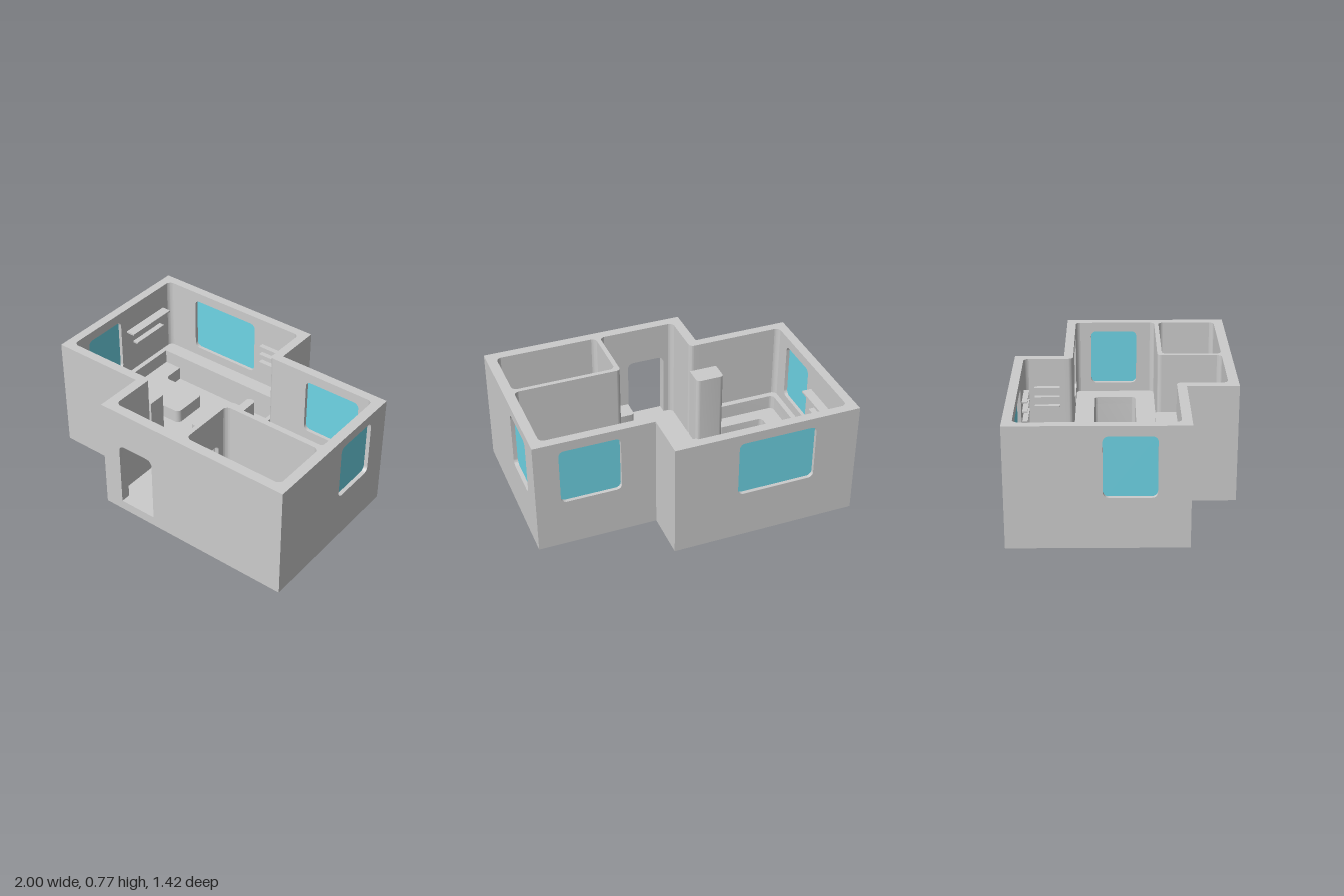
import * as THREE from 'three';
import { toCreasedNormals } from 'three/addons/utils/BufferGeometryUtils.js';

const grey = new THREE.MeshStandardMaterial({ color: 0xcccccc });
const glass = new THREE.MeshStandardMaterial({ color: 0x6ed5e6 });
const TOP = 0.775, FLOOR = 0.065, COUNTER = 0.26, SEAT = 0.16;

export function createModel() {
  const model = new THREE.Group();

  const add = (name, geometry, material = grey) => {
    const mesh = new THREE.Mesh(geometry, material);
    mesh.name = name;
    model.add(mesh);
    return mesh;
  };

  // Closed outline whose corners [x, y, radius] are rounded.
  const outline = (pts, Type = THREE.Shape) => {
    const s = new Type();
    pts.forEach(([x, y, r = 0], i) => {
      const p = new THREE.Vector2(x, y);
      const toward = (q) => new THREE.Vector2(q[0], q[1]).sub(p).setLength(r).add(p);
      const a = toward(pts.at(i - 1)), b = toward(pts[(i + 1) % pts.length]);
      if (i) s.lineTo(a.x, a.y); else s.moveTo(a.x, a.y);
      if (r) {
        const k = 0.552;
        s.bezierCurveTo(a.x + (x - a.x) * k, a.y + (y - a.y) * k, b.x + (x - b.x) * k, b.y + (y - b.y) * k, b.x, b.y);
      }
    });
    s.closePath();
    return s;
  };
  const rect = (x0, x1, y0, y1, r = 0) => [[x0, y0, r], [x1, y0, r], [x1, y1, r], [x0, y1, r]];
  const extrude = (shape, depth) =>
    toCreasedNormals(new THREE.ExtrudeGeometry(shape, { depth, bevelEnabled: false, curveSegments: 8 }), 0.6);

  // Upright prism over a floor plan given in (x, z).
  const plan = (pts) => pts.map(([x, z, r]) => [x, -z, r]);
  const prism = (name, pts, y0, y1, holes = []) => {
    const s = outline(plan(pts));
    holes.forEach((h) => s.holes.push(outline(plan(h), THREE.Path)));
    return add(name, extrude(s, y1 - y0).rotateX(-Math.PI / 2).translate(0, y0, 0));
  };
  const box = (name, x0, x1, y0, y1, z0, z1) =>
    add(name, new THREE.BoxGeometry(x1 - x0, y1 - y0, z1 - z0)
      .translate((x0 + x1) / 2, (y0 + y1) / 2, (z0 + z1) / 2));

  // Wall running along x or z from a0 to a1, filling b0..b1 across.
  const wall = (name, axis, a0, a1, b0, b1, window, door) => {
    const place = (g, off) => axis === 'x' ? g.translate(0, 0, b0 + off)
      : g.rotateY(-Math.PI / 2).translate(b1 - off, 0, 0);
    const s = outline(rect(a0, a1, 0, TOP));
    if (door) {
      const [d0, d1] = door;
      s.holes.push(outline([[d0, FLOOR], [d1, FLOOR], [d1, 0.52, 0.04], [d0, 0.52, 0.04]], THREE.Path));
    }
    if (window) {
      const pts = rect(window[0], window[1], 0.325, 0.71, 0.035);
      s.holes.push(outline(pts, THREE.Path));
      add(name + 'Window', place(extrude(outline(pts), 0.012), (b1 - b0) / 2 - 0.006), glass);
    }
    add(name, place(extrude(s, b1 - b0), 0));
  };

  // Floor slab
  prism('floor', [[-0.97, -0.68], [0.19, -0.68], [0.19, -0.36], [0.97, -0.36], [0.97, 0.68],
    [-0.33, 0.68], [-0.33, 0.355], [-0.97, 0.355]], 0, FLOOR);

  // Outer walls and partitions
  wall('backWall', 'x', -1, 0.22, -0.71, -0.65, [-0.71, -0.197]);
  wall('kitchenBackWall', 'x', 0.22, 1, -0.39, -0.33, [0.445, 0.84]);
  wall('frontWall', 'x', -0.36, 1, 0.645, 0.71, null, [-0.23, 0.03]);
  wall('loungeFrontWall', 'x', -1, -0.36, 0.325, 0.385);
  wall('rightWall', 'z', -0.65, 0.325, -1, -0.94, [-0.13, 0.19]);
  wall('leftWall', 'z', -0.33, 0.645, 0.935, 1, [-0.225, 0.1]);
  wall('backStepWall', 'z', -0.65, -0.39, 0.16, 0.22);
  wall('entryStepWall', 'z', 0.385, 0.645, -0.36, -0.295);
  wall('bathroomBackWall', 'x', 0.255, 0.935, 0.225, 0.255);
  wall('bathroomSideWall', 'z', 0.255, 0.645, 0.225, 0.255, null, [0.33, 0.51]);

  // Rounded outward corners inside the rooms
  prism('backStepCorner', [[0.16, -0.39], [0.22, -0.39], [0.22, -0.33], [0.16, -0.33, 0.03]], 0, TOP);
  prism('entryStepCorner', [[-0.36, 0.325], [-0.295, 0.325, 0.03], [-0.295, 0.385], [-0.36, 0.385]], 0, TOP);
  prism('bathroomCorner', [[0.225, 0.225, 0.028], [0.255, 0.225], [0.255, 0.255], [0.225, 0.255]], 0, TOP);

  // Fillets in the inward corners: x, z and the direction into the room
  const corners = [[-0.94, -0.65, 1, 1], [0.16, -0.65, -1, 1], [0.935, -0.33, -1, 1], [0.935, 0.225, -1, -1],
    [0.225, 0.645, -1, -1], [-0.295, 0.645, 1, -1], [-0.94, 0.325, 1, -1],
    [0.255, 0.255, 1, 1], [0.935, 0.255, -1, 1], [0.935, 0.645, -1, -1], [0.255, 0.645, 1, -1]];
  for (const [x, z, sx, sz] of corners) {
    const r = 0.03, s = new THREE.Shape();
    s.moveTo(x, -z);
    s.lineTo(x + sx * r, -z);
    s.quadraticCurveTo(x + sx * r * 0.2, -z - sz * r * 0.2, x, -z - sz * r);
    s.closePath();
    add('cornerFillet', extrude(s, TOP - FLOOR).rotateX(-Math.PI / 2).translate(0, FLOOR, 0));
  }

  // Kitchen counter wrapping the back and left of the room, with a sink cut out
  const counter = [[-0.94, -0.65], [0.16, -0.65], [0.16, -0.33], [0.935, -0.33], [0.935, 0.225],
    [0.225, 0.225], [0.225, 0.325], [0.13, 0.325, 0.025], [0.13, 0.09, 0.03], [0.805, 0.09, 0.025],
    [0.805, -0.2, 0.025], [0.13, -0.2, 0.03], [0.13, -0.55, 0.025], [-0.94, -0.55]];
  prism('counterBase', counter, FLOOR, 0.21);
  prism('counterTop', counter, 0.21, COUNTER, [rect(0.44, 0.565, -0.3, -0.21, 0.005)]);

  // Corner sofa with chaise and low backrest
  prism('sofaSeat', [[-0.94, -0.55], [-0.78, -0.55], [-0.78, -0.395, 0.03], [-0.455, -0.395, 0.035],
    [-0.455, -0.135, 0.035], [-0.78, -0.135, 0.03], [-0.78, 0.19, 0.03], [-0.48, 0.19],
    [-0.48, 0.325], [-0.94, 0.325]], FLOOR, SEAT);
  prism('sofaBack', [[-0.94, -0.55], [-0.905, -0.55], [-0.905, 0.285, 0.03], [-0.48, 0.285],
    [-0.48, 0.325], [-0.94, 0.325]], SEAT, COUNTER);

  // Tall cabinet and entry bench
  prism('tallCabinet', [[-0.485, 0.19, 0.025], [-0.295, 0.19, 0.025], [-0.295, 0.325], [-0.485, 0.325]], FLOOR, 0.58);
  prism('entryBench', [[0.035, 0.515, 0.025], [0.225, 0.515], [0.225, 0.645], [0.035, 0.645]], FLOOR, 0.19);

  // Two facing seats sharing an S-shaped back
  prism('doubleSeatBase', rect(-0.23, -0.035, -0.455, 0.01, 0.025), FLOOR, SEAT);
  prism('doubleSeatBack', [[-0.095, -0.455, 0.025], [-0.035, -0.455, 0.025], [-0.035, -0.2, 0.025],
    [-0.165, -0.2, 0.03], [-0.165, 0.01, 0.025], [-0.23, 0.01, 0.025], [-0.23, -0.26, 0.025],
    [-0.095, -0.26, 0.03]], SEAT, COUNTER);

  // Wall shelves
  box('upperLoungeShelf', -0.94, -0.875, 0.59, 0.602, -0.57, -0.185);
  box('lowerLoungeShelf', -0.94, -0.9, 0.48, 0.492, -0.53, -0.245);
  for (const y of [0.45, 0.513, 0.577]) {
    box('backShelf', -0.13, 0.09, y, y + 0.008, -0.65, -0.615);
    box('sideShelf', 0.125, 0.16, y, y + 0.008, -0.585, -0.42);
  }

  // Bathroom washbasin, hollowed from above
  const basin = [[0.35, 0.53, 0.025], [0.545, 0.53, 0.025], [0.545, 0.645], [0.35, 0.645]];
  prism('washbasinBase', basin, 0.28, 0.3);
  prism('washbasinRim', basin, 0.3, 0.355, [rect(0.383, 0.507, 0.54, 0.605, 0.005)]);
  box('washbasinTap', 0.44, 0.45, 0.355, 0.39, 0.61, 0.62);

  // Privacy screen and toilet
  prism('privacyScreen', rect(0.573, 0.583, 0.51, 0.645), FLOOR, 0.4);
  prism('toiletBowl', [[0.612, 0.525, 0.036], [0.69, 0.525, 0.036], [0.69, 0.62], [0.612, 0.62]], FLOOR, 0.18);
  box('toiletTank', 0.612, 0.69, FLOOR, 0.25, 0.605, 0.645);

  // Curved shower surround
  prism('showerSurround', [[0.705, 0.51], [0.713, 0.51], [0.713, 0.62, 0.025], [0.918, 0.62, 0.025], [0.918, 0.51],
    [0.927, 0.51], [0.927, 0.63, 0.034], [0.705, 0.63, 0.034]], FLOOR, 0.2);

  // Small wall basin with a tap
  prism('wallBasin', rect(0.828, 0.935, 0.34, 0.445), 0.3, 0.34);
  add('wallBasinTap', new THREE.CylinderGeometry(0.005, 0.005, 0.07, 10).rotateZ(Math.PI / 2).translate(0.9, 0.385, 0.393));
  add('wallBasinSpout', new THREE.CylinderGeometry(0.009, 0.009, 0.02, 12).translate(0.865, 0.38, 0.393));

  return model;
}
